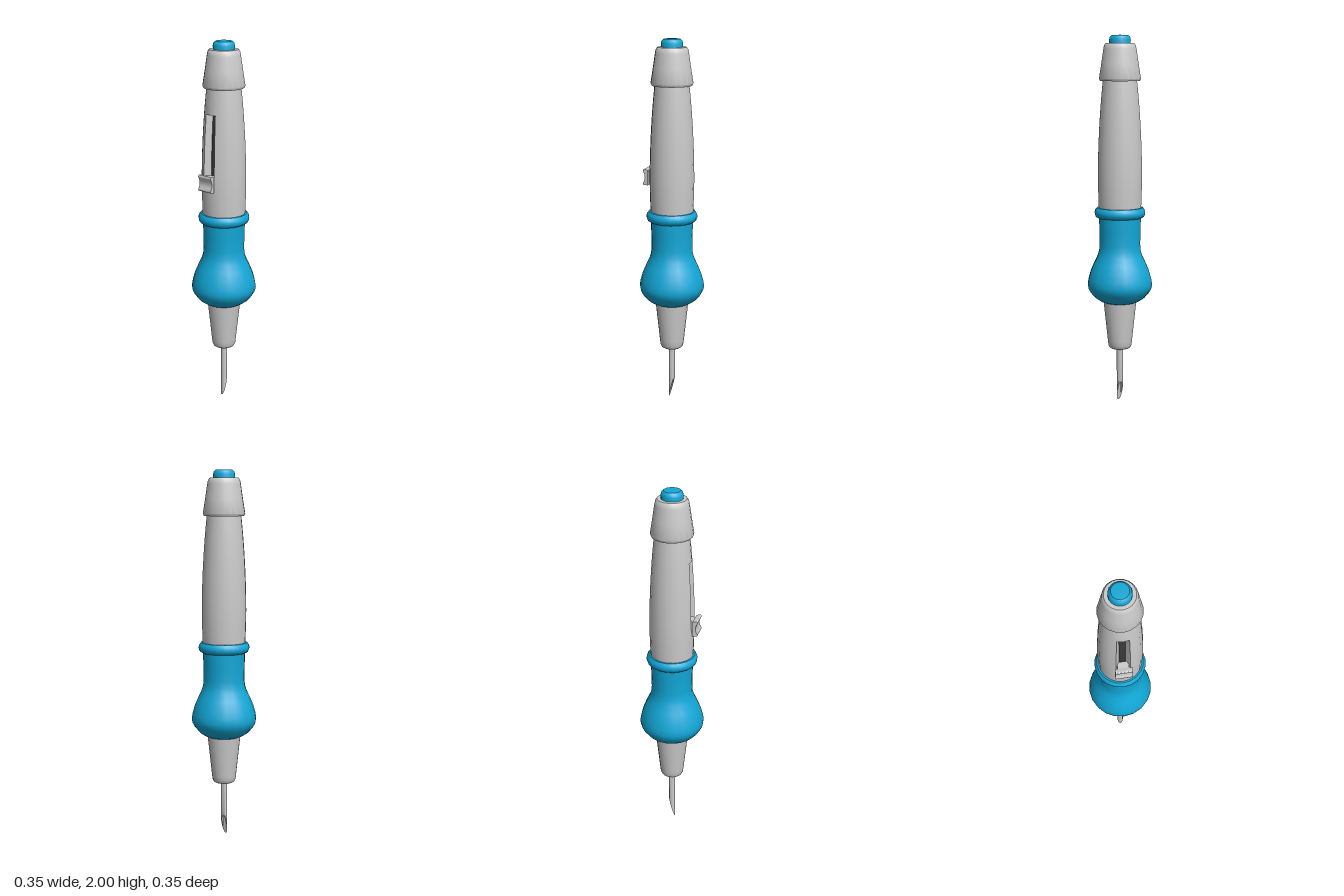
import * as THREE from 'three';
import { mergeGeometries, toCreasedNormals } from 'three/addons/utils/BufferGeometryUtils.js';

const SIDES = 20;
const STEP = (Math.PI * 2) / SIDES;

const grey = new THREE.MeshStandardMaterial({ color: 0xcccccc });
const greyOpen = new THREE.MeshStandardMaterial({ color: 0xcccccc, side: THREE.DoubleSide });
const teal = new THREE.MeshStandardMaterial({ color: 0x12a8d8 });
const dark = new THREE.MeshStandardMaterial({ color: 0x3a3a3a, side: THREE.DoubleSide });

const v2 = (pts) => pts.map(([r, y]) => new THREE.Vector2(r, y));

// Turned part from [radius, y] points, listed bottom to top
function turned(name, pts, material, sides = SIDES) {
  const geo = toCreasedNormals(new THREE.LatheGeometry(v2(pts), sides), 0.65);
  const mesh = new THREE.Mesh(geo, material);
  mesh.name = name;
  return mesh;
}

// Body radius by height
const bodyCurve = new THREE.SplineCurve(v2([
  [0.115, 1.06], [0.12, 1.25], [0.115, 1.45], [0.104, 1.63], [0.09, 1.78],
]));
function bodyRadius(y) {
  let lo = 0, hi = 1;
  for (let i = 0; i < 30; i++) {
    const mid = (lo + hi) / 2;
    if (bodyCurve.getPoint(mid).y < y) lo = mid; else hi = mid;
  }
  return bodyCurve.getPoint(lo).x;
}
function bodyRows(y0, y1, n) {
  return Array.from({ length: n + 1 }, (_, i) => {
    const y = y0 + ((y1 - y0) * i) / n;
    return [bodyRadius(y), y];
  });
}

// Open strip of quads between two lines of points
function strip(a, b) {
  const pos = [];
  for (let i = 0; i < a.length - 1; i++) {
    for (const p of [a[i], b[i], b[i + 1], a[i], b[i + 1], a[i + 1]]) pos.push(...p);
  }
  const geo = new THREE.BufferGeometry();
  geo.setAttribute('position', new THREE.Float32BufferAttribute(pos, 3));
  geo.computeVertexNormals();
  return geo;
}

function createBody() {
  const group = new THREE.Group();
  group.name = 'body';
  const slotLow = 1.25, slotHigh = 1.625;
  const slotRows = bodyRows(slotLow, slotHigh, 5);

  // Shell with the two front facets left open for the slot
  const shell = mergeGeometries([
    new THREE.LatheGeometry(v2(bodyRows(1.06, slotLow, 3)), SIDES),
    new THREE.LatheGeometry(v2(slotRows), SIDES - 2, STEP, Math.PI * 2 - 2 * STEP),
    new THREE.LatheGeometry(v2(bodyRows(slotHigh, 1.78, 3)), SIDES),
  ]);
  const shellMesh = new THREE.Mesh(toCreasedNormals(shell, 0.65), grey);
  shellMesh.name = 'bodyShell';
  group.add(shellMesh);

  // Sloped slot walls running down to a narrow floor
  const floorHalf = 0.017;
  const floorZ = (r) => r * Math.cos(STEP) - 0.035;
  const inner = (side) => slotRows.map(([r, y]) => [side * floorHalf, y, floorZ(r)]);
  const outer = (side) => slotRows.map(([r, y]) =>
    [side * r * Math.sin(STEP), y, r * Math.cos(STEP)]);
  const walls = new THREE.Mesh(
    mergeGeometries([strip(outer(-1), inner(-1)), strip(inner(1), outer(1))]), greyOpen);
  walls.name = 'slotWalls';
  const floor = new THREE.Mesh(strip(inner(-1), inner(1)), dark);
  floor.name = 'slotFloor';
  group.add(walls, floor);

  // Slot ends
  for (const [r, y] of [slotRows[0], slotRows[slotRows.length - 1]]) {
    const s = r * Math.sin(STEP), z = r * Math.cos(STEP);
    const shape = new THREE.Shape(v2([
      [-s, z], [-floorHalf, floorZ(r)], [floorHalf, floorZ(r)], [s, z], [0, r],
    ]));
    const end = new THREE.Mesh(new THREE.ShapeGeometry(shape).rotateX(Math.PI / 2), greyOpen);
    end.position.y = y;
    end.name = 'slotEnd';
    group.add(end);
  }
  return group;
}

// Thumb slider: side outline in (z, y) extruded across x
function createSlider() {
  const group = new THREE.Group();
  group.name = 'slider';
  const shape = new THREE.Shape();
  shape.moveTo(0.122, 1.22);
  shape.lineTo(0.143, 1.22);
  shape.quadraticCurveTo(0.151, 1.222, 0.15, 1.232);
  shape.quadraticCurveTo(0.128, 1.262, 0.15, 1.297);
  shape.quadraticCurveTo(0.15, 1.308, 0.142, 1.308);
  shape.lineTo(0.122, 1.302);
  const geo = new THREE.ExtrudeGeometry(shape, { depth: 0.09, bevelEnabled: false, curveSegments: 6 });
  geo.translate(0, 0, -0.045).rotateY(-Math.PI / 2);
  const thumb = new THREE.Mesh(toCreasedNormals(geo, 0.6), grey);
  thumb.name = 'sliderThumb';
  const neck = new THREE.Mesh(new THREE.BoxGeometry(0.06, 0.07, 0.04), grey);
  neck.position.set(0, 1.262, 0.104);
  neck.name = 'sliderNeck';
  group.add(thumb, neck);
  return group;
}

// Hollow needle with a slanted cut, its point at the front
function createNeedle() {
  const R = 0.0175;
  const geo = new THREE.LatheGeometry(v2([
    [0, 0.22], [0.011, 0.22], [0.011, 0], [R, 0], [R, 0.32],
  ]), 16);
  const pos = geo.attributes.position;
  for (let i = 0; i < pos.count; i++) {
    if (pos.getY(i) < 0.01) pos.setY(i, 0.066 * (1 - pos.getZ(i) / R));
  }
  const mesh = new THREE.Mesh(toCreasedNormals(geo, 0.65), grey);
  mesh.name = 'needle';
  return mesh;
}

export function createModel() {
  const model = new THREE.Group();
  model.name = 'needlePen';

  model.add(
    createNeedle(),
    turned('noseCone', [
      [0, 0.3], [0.048, 0.3], [0.058, 0.306], [0.064, 0.32], [0.067, 0.345], [0.091, 0.57],
    ], grey),
    turned('grip', [
      [0, 0.56], [0.09, 0.56], [0.108, 0.567], [0.135, 0.585], [0.161, 0.615], [0.173, 0.638],
      [0.177, 0.66], [0.172, 0.69], [0.16, 0.733], [0.142, 0.775], [0.123, 0.815],
      [0.114, 0.845], [0.111, 0.88], [0.112, 0.95], [0.115, 1.04],
    ], teal),
    turned('gripRing', [
      [0.105, 1.025], [0.122, 1.025], [0.132, 1.032], [0.137, 1.045], [0.138, 1.055],
      [0.134, 1.068], [0.125, 1.08], [0.105, 1.08],
    ], teal),
    createBody(),
    createSlider(),
    turned('cap', [
      [0.085, 1.757], [0.107, 1.757], [0.113, 1.769], [0.1, 1.85], [0.089, 1.925],
      [0.085, 1.945], [0.077, 1.956], [0, 1.957],
    ], grey),
    turned('pushButton', [
      [0.057, 1.94], [0.058, 1.975], [0.054, 1.989], [0.044, 1.998], [0, 2],
    ], teal),
  );
  return model;
}
